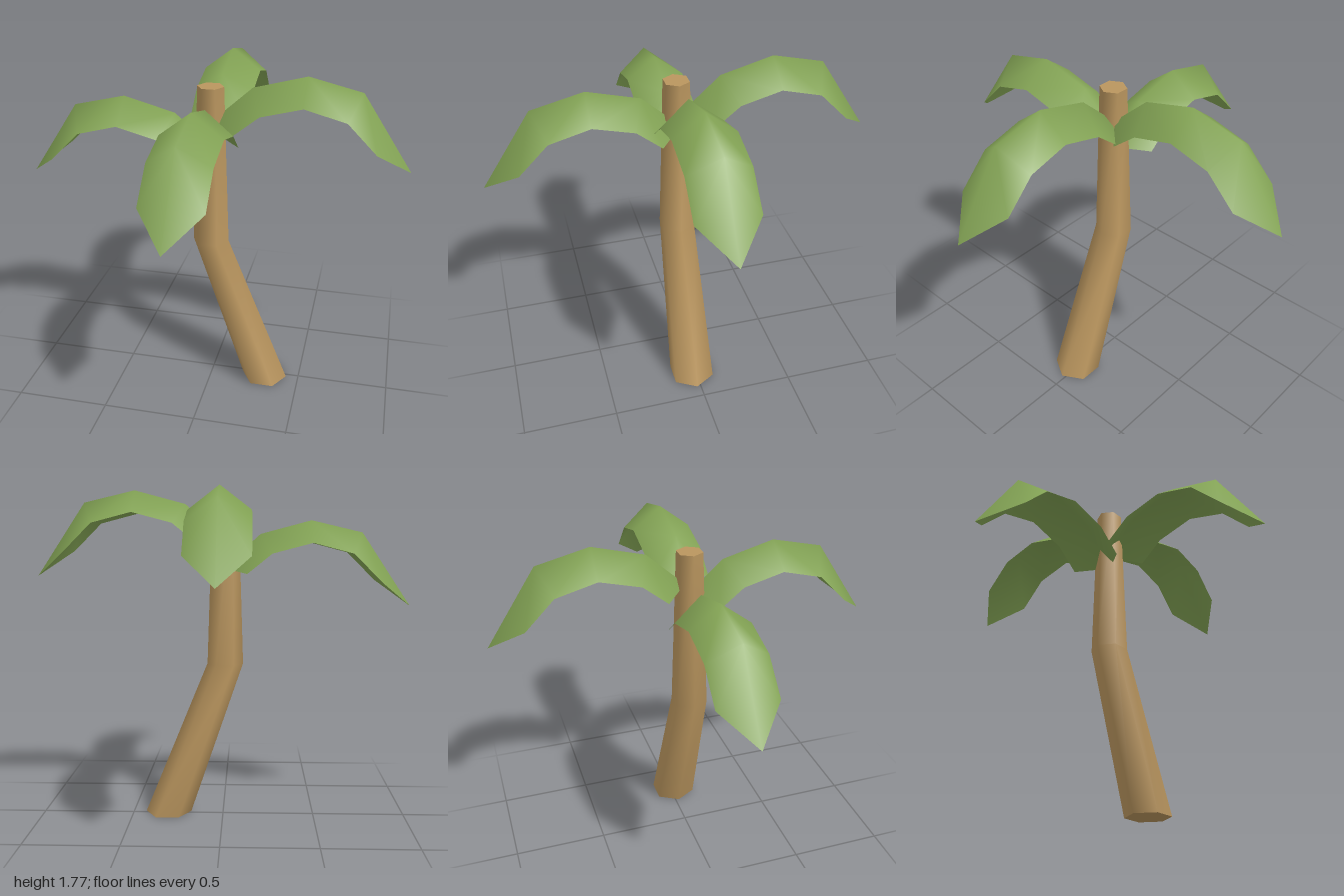
import * as THREE from 'three';
import { toCreasedNormals } from 'three/addons/utils/BufferGeometryUtils.js';

const bark = new THREE.MeshStandardMaterial({ name: 'bark', color: 0xb9955e });
const leafGreen = new THREE.MeshStandardMaterial({ name: 'leaf green', color: 0x82a254, side: THREE.DoubleSide });

// Six-sided trunk: a cylinder whose three rings are resized and shifted into a bend
function trunkGeometry() {
  const rings = [
    { x: 0.305, y: 0, r: 0.126 },
    { x: -0.012, y: 0.845, r: 0.097 },
    { x: -0.013, y: 1.695, r: 0.069 },
  ];
  const geo = new THREE.CylinderGeometry(1, 1, 2, 6, 2, false, Math.PI / 2);
  const pos = geo.attributes.position;
  for (let i = 0; i < pos.count; i++) {
    const ring = rings[Math.round(pos.getY(i)) + 1];
    pos.setXYZ(i, ring.x + pos.getX(i) * ring.r, ring.y, 0.02 + pos.getZ(i) * ring.r);
  }
  return toCreasedNormals(geo, 1.12);
}

// Arched leaf along +x: a raised ridge with lower edges on both sides, pointed at each end
function leafGeometry() {
  const ends = [[0, 1.52], [1, 1.32]];
  const ridge = [[0.2, 1.7], [0.47, 1.772], [0.74, 1.708]];
  const edge = [[0.13, 1.495], [0.26, 1.6], [0.47, 1.655], [0.68, 1.6], [0.83, 1.45]];
  const points = [];
  const add = (list, z) => list.forEach(([x, y]) => points.push(x, y, z));
  add(ends, 0);
  add(ridge, 0);
  add(edge, 0.153);
  add(edge, -0.153);

  const index = [];
  const tri = (a, b, c, flip) => {
    if (a === b || b === c || a === c) return;
    index.push(a, ...(flip ? [c, b] : [b, c]));
  };
  const inner = [0, 2, 2, 3, 4, 4, 1];
  for (const first of [5, 10]) {
    const outer = [0, first, first + 1, first + 2, first + 3, first + 4, 1];
    const flip = first === 10;
    for (let k = 0; k < 6; k++) {
      tri(outer[k], outer[k + 1], inner[k], flip);
      tri(inner[k], outer[k + 1], inner[k + 1], flip);
    }
  }
  const geo = new THREE.BufferGeometry();
  geo.setAttribute('position', new THREE.Float32BufferAttribute(points, 3));
  geo.setIndex(index);
  geo.computeVertexNormals();
  return geo;
}

export function createModel() {
  const group = new THREE.Group();
  group.name = 'palmTree';

  const trunk = new THREE.Mesh(trunkGeometry(), bark);
  trunk.name = 'trunk';
  group.add(trunk);

  // Four leaves at different heights
  const geo = leafGeometry();
  const leaves = [
    ['leftLeaf', 0, 0, 0.017],
    ['backLeaf', Math.PI / 2, 0, 0],
    ['rightLeaf', Math.PI, -0.157, 0.017],
    ['frontLeaf', -Math.PI / 2, -0.072, 0],
  ];
  for (const [name, angle, y, z] of leaves) {
    const leaf = new THREE.Mesh(geo, leafGreen);
    leaf.name = name;
    leaf.rotation.y = angle;
    leaf.position.set(0, y, z);
    group.add(leaf);
  }
  return group;
}
